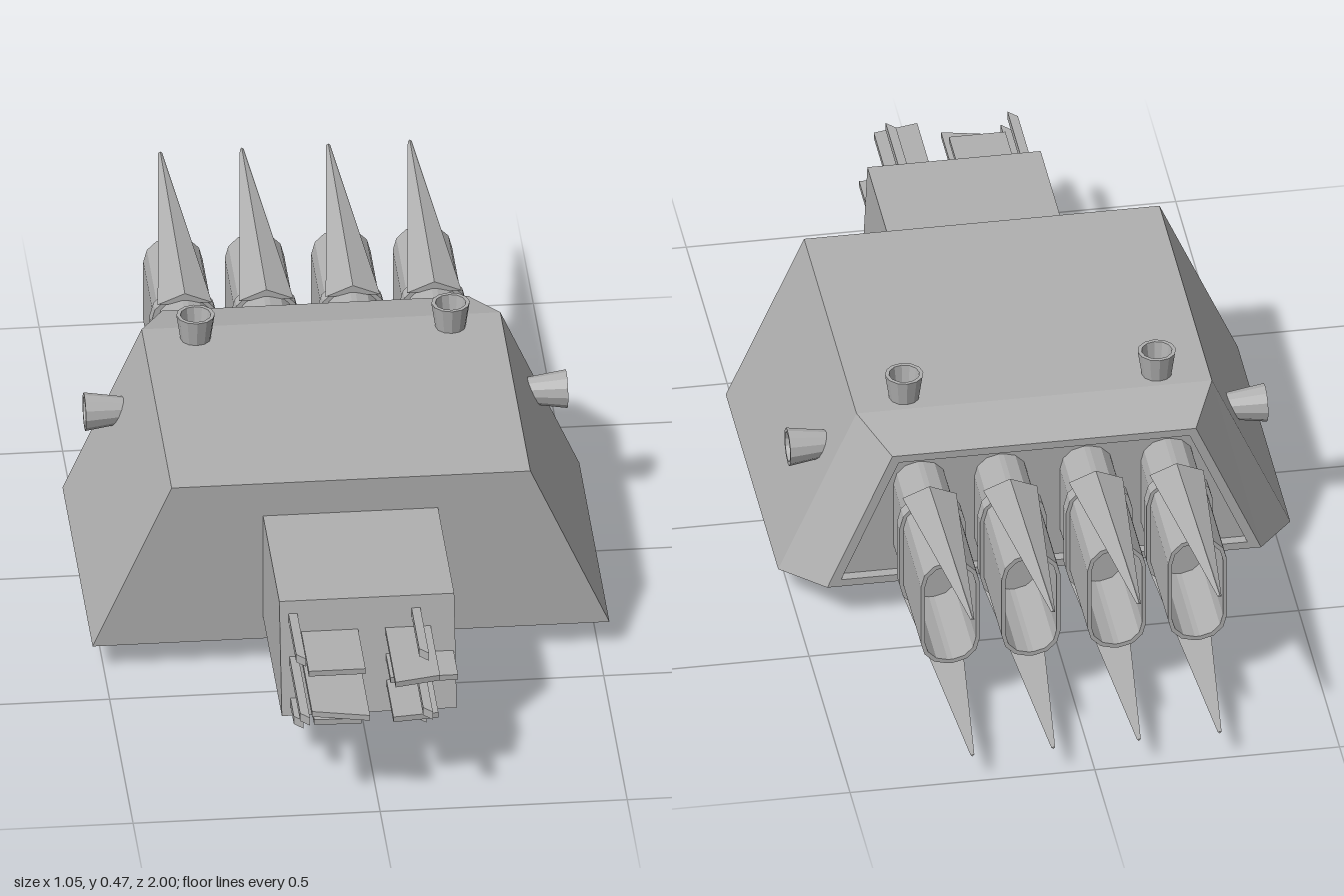
import * as THREE from 'three';

// Skin consecutive rings of [x, y, z], counter-clockwise seen from +z, running front to back
function loft(rings) {
  const pos = [];
  const tri = (a, b, c) => pos.push(...a, ...b, ...c);
  const n = rings[0].length;
  for (let i = 0; i < rings.length - 1; i++) {
    const a = rings[i], b = rings[i + 1];
    for (let k = 0; k < n; k++) {
      const m = (k + 1) % n;
      tri(a[k], b[k], b[m]);
      tri(a[k], b[m], a[m]);
    }
  }
  const f = rings[0], r = rings[rings.length - 1];
  for (let k = 1; k < n - 1; k++) {
    tri(f[0], f[k], f[k + 1]);
    tri(r[0], r[k + 1], r[k]);
  }
  const g = new THREE.BufferGeometry();
  g.setAttribute('position', new THREE.Float32BufferAttribute(pos, 3));
  g.computeVertexNormals();
  return g;
}

// Trapezoid section of the hull
const trapezoid = (wBottom, wTop, y0, y1, z) =>
  [[-wBottom, y0, z], [wBottom, y0, z], [wTop, y1, z], [-wTop, y1, z]];

// Rounded upright section of an engine
function oval(w, h, z) {
  const ring = [], r = w * 0.9, steps = 3;
  const corners = [[1, 1, 0], [-1, 1, 1], [-1, -1, 2], [1, -1, 3]];
  for (const [sx, sy, q] of corners) {
    for (let i = 0; i <= steps; i++) {
      const a = (q + i / steps) * Math.PI / 2;
      ring.push([sx * (w - r) + r * Math.cos(a), 0.23 + sy * (h - r) + r * Math.sin(a), z]);
    }
  }
  return ring;
}

// Block whose front end may slant: zl at its -x side, zr at its +x side
const block = (x0, x1, y0, y1, zl, zr, zBack) => loft([
  [[x0, y0, zl], [x1, y0, zr], [x1, y1, zr], [x0, y1, zl]],
  [[x0, y0, zBack], [x1, y0, zBack], [x1, y1, zBack], [x0, y1, zBack]],
]);

export function createModel() {
  const model = new THREE.Group();
  const grey = new THREE.MeshStandardMaterial({ color: 0xb0b0b0 });
  grey.name = 'hull grey';
  grey.flatShading = true;

  const add = (name, geometry, parent = model) => {
    const mesh = new THREE.Mesh(geometry, grey);
    mesh.name = name;
    parent.add(mesh);
    return mesh;
  };

  // Hull with chamfered tail and a shallow recess behind the rim
  add('hull', loft([
    trapezoid(0.523, 0.363, 0.055, 0.415, 0.38),
    trapezoid(0.523, 0.363, 0.055, 0.415, -0.26),
    trapezoid(0.443, 0.31, 0.082, 0.385, -0.382),
    trapezoid(0.415, 0.297, 0.098, 0.369, -0.382),
    trapezoid(0.415, 0.297, 0.098, 0.369, -0.36),
  ]));

  // Nose with a sloping front
  add('nose', loft([
    [[-0.178, 0.105, 0.78], [0.176, 0.105, 0.78], [0.176, 0.34, 0.725], [-0.178, 0.34, 0.725]],
    [[-0.178, 0.105, 0.36], [0.176, 0.105, 0.36], [0.176, 0.34, 0.36], [-0.178, 0.34, 0.36]],
  ]));

  // Antenna plates: x0, x1, y, left end z, right end z
  const plates = [
    [-0.135, -0.02, 0.27, 0.9, 0.9], [0.035, 0.127, 0.27, 0.96, 0.94],
    [-0.135, -0.02, 0.217, 0.97, 0.997], [0.035, 0.172, 0.217, 0.85, 0.85],
    [-0.125, -0.03, 0.163, 0.91, 0.915], [0.035, 0.127, 0.163, 0.915, 0.905],
  ];
  for (const [x0, x1, y, zl, zr] of plates) {
    add('antennaPlate', block(x0, x1, y - 0.006, y + 0.006, zl, zr, 0.7));
  }

  // Antenna rods
  for (const x of [-0.151, 0.098]) {
    for (const [y, z] of [[0.305, 0.915], [0.217, 1], [0.132, 0.865]]) {
      add('antennaRod', block(x - 0.009, x + 0.009, y - 0.009, y + 0.009, z - 0.02, z, 0.7));
    }
  }

  // Engines with collar, hollow barrel and a spike above and below
  const barrel = loft([
    oval(0.054, 0.122, -0.35), oval(0.054, 0.122, -0.485),
    oval(0.068, 0.128, -0.485), oval(0.068, 0.128, -0.515),
    oval(0.06, 0.122, -0.515), oval(0.06, 0.122, -0.73),
    oval(0.052, 0.113, -0.73), oval(0.052, 0.113, -0.5),
  ]);
  const topSpike = loft([
    [[-0.055, 0.345, -0.475], [0.055, 0.345, -0.475], [0, 0.368, -0.475]],
    [[-0.004, 0.392, -1], [0.004, 0.392, -1], [0, 0.396, -1]],
  ]);
  const bottomSpike = topSpike.clone().rotateZ(Math.PI).translate(0, 0.456, 0);
  for (const x of [-0.255, -0.09, 0.085, 0.25]) {
    const engine = new THREE.Group();
    engine.name = 'engine';
    engine.position.x = x;
    add('engineBarrel', barrel, engine);
    add('topSpike', topSpike, engine);
    add('bottomSpike', bottomSpike, engine);
    model.add(engine);
  }

  // Small flared steering thrusters on top, underside and flanks
  const cup = new THREE.LatheGeometry([
    [0.027, -0.025], [0.039, 0.055], [0.031, 0.055], [0.024, 0.008], [0, 0.008],
  ].map(([r, y]) => new THREE.Vector2(r, y)), 12);
  for (const s of [-1, 1]) {
    add('topThruster', cup).position.set(s * 0.258, 0.415, -0.215);
    const under = add('bottomThruster', cup);
    under.position.set(s * 0.258, 0.055, -0.215);
    under.rotation.x = Math.PI;
    const side = add('sideThruster', cup);
    side.position.set(s * 0.433, 0.285, -0.165);
    side.rotation.z = -s * Math.PI / 2;
  }
  return model;
}
